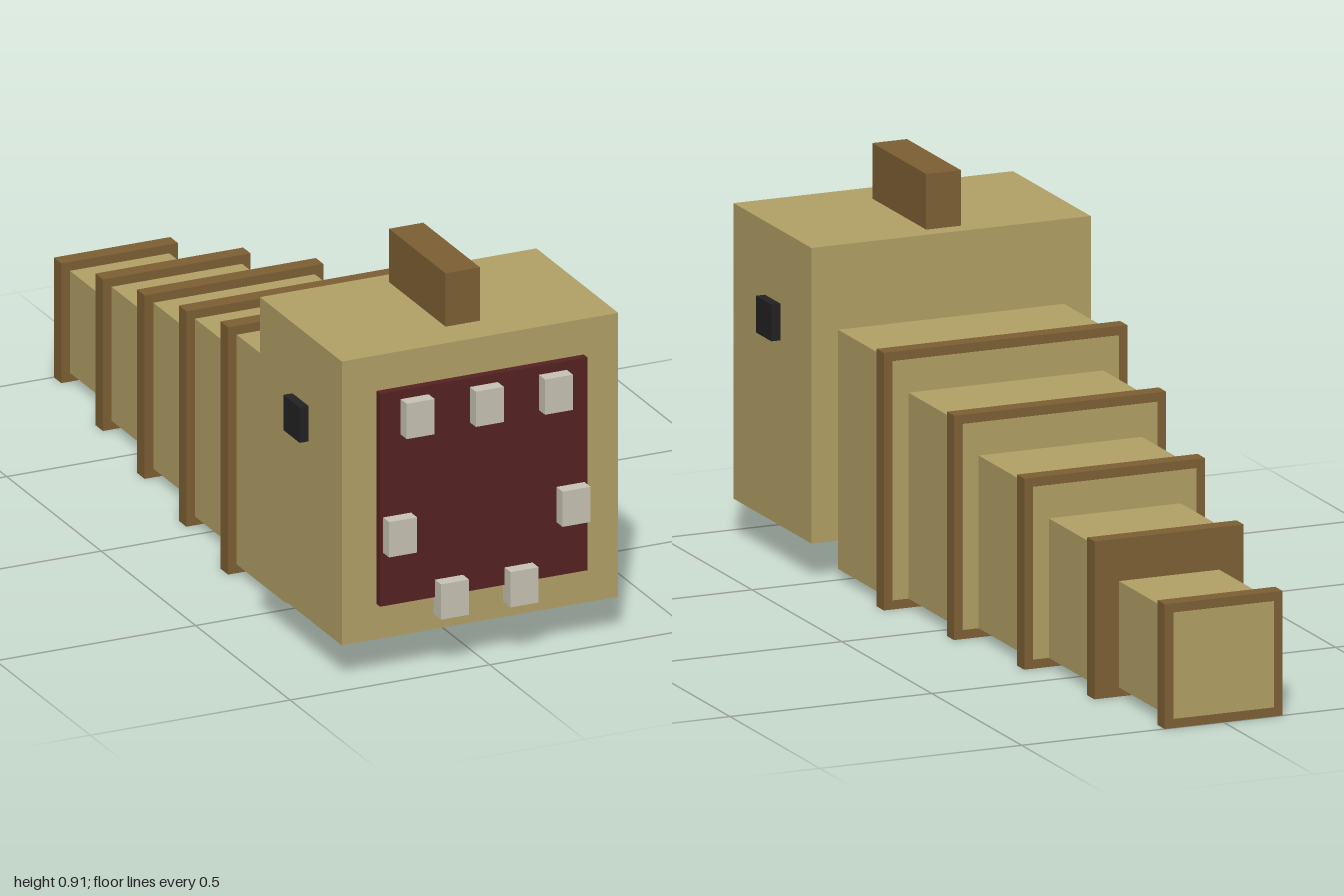
import * as THREE from 'three';

export function createModel() {
  const model = new THREE.Group();
  model.name = 'segmentedWorm';

  const material = (name, color) => {
    const m = new THREE.MeshStandardMaterial({ color });
    m.name = name;
    return m;
  };
  const tan = material('tan skin', 0xb2a066);
  const brown = material('brown ridge', 0x7d6034);
  const maroon = material('maroon mouth', 0x562222);
  const ivory = material('ivory teeth', 0xc8c4b4);
  const black = material('black eyes', 0x222222);

  // Box from its centre x, centre y, rear z and size
  const box = (name, mat, x, y, rearZ, w, h, d, parent = model) => {
    const mesh = new THREE.Mesh(new THREE.BoxGeometry(w, h, d), mat);
    mesh.name = name;
    mesh.position.set(x, y, rearZ + d / 2);
    parent.add(mesh);
    return mesh;
  };

  // Head with its crest
  const headRear = 0.515;
  box('head', tan, 0, 0.434, headRear, 0.692, 0.692, 0.433);
  box('crest', brown, 0, 0.844, 0.557, 0.086, 0.132, 0.3);

  // Eyes, one on each side
  for (const side of [1, -1]) {
    box(side > 0 ? 'leftEye' : 'rightEye', black, side * 0.347, 0.565, 0.687, 0.043, 0.086, 0.086);
  }

  // Mouth plate and the ring of teeth around it
  box('mouth', maroon, 0, 0.434, 0.94, 0.519, 0.519, 0.028);
  const teeth = new THREE.Group();
  teeth.name = 'teeth';
  model.add(teeth);
  const toothCentres = [
    [-0.173, 0.629], [0, 0.629], [0.173, 0.629],
    [-0.217, 0.348], [0.217, 0.348],
    [-0.087, 0.174], [0.087, 0.174],
  ];
  for (const [x, y] of toothCentres) box('tooth', ivory, x, y, 0.96, 0.07, 0.086, 0.04, teeth);

  // Tapering body segments, each ending in a wider ridge
  const pitch = 0.303;
  for (let i = 0; i < 5; i++) {
    const segment = new THREE.Group();
    segment.name = `segment${i + 1}`;
    model.add(segment);
    const size = 0.56 - i * 0.0778;
    const ridge = size + 0.043;
    const rear = headRear - (i + 1) * pitch;
    // The skin just shows through the rear of each ridge, except on the fourth
    const reach = i === 3 ? -0.001 : 0.001;
    box('segmentBody', tan, 0, ridge / 2, rear - reach, size, size, pitch + reach, segment);
    box('segmentRidge', brown, 0, ridge / 2, rear, ridge, ridge, 0.04, segment);
  }

  return model;
}
